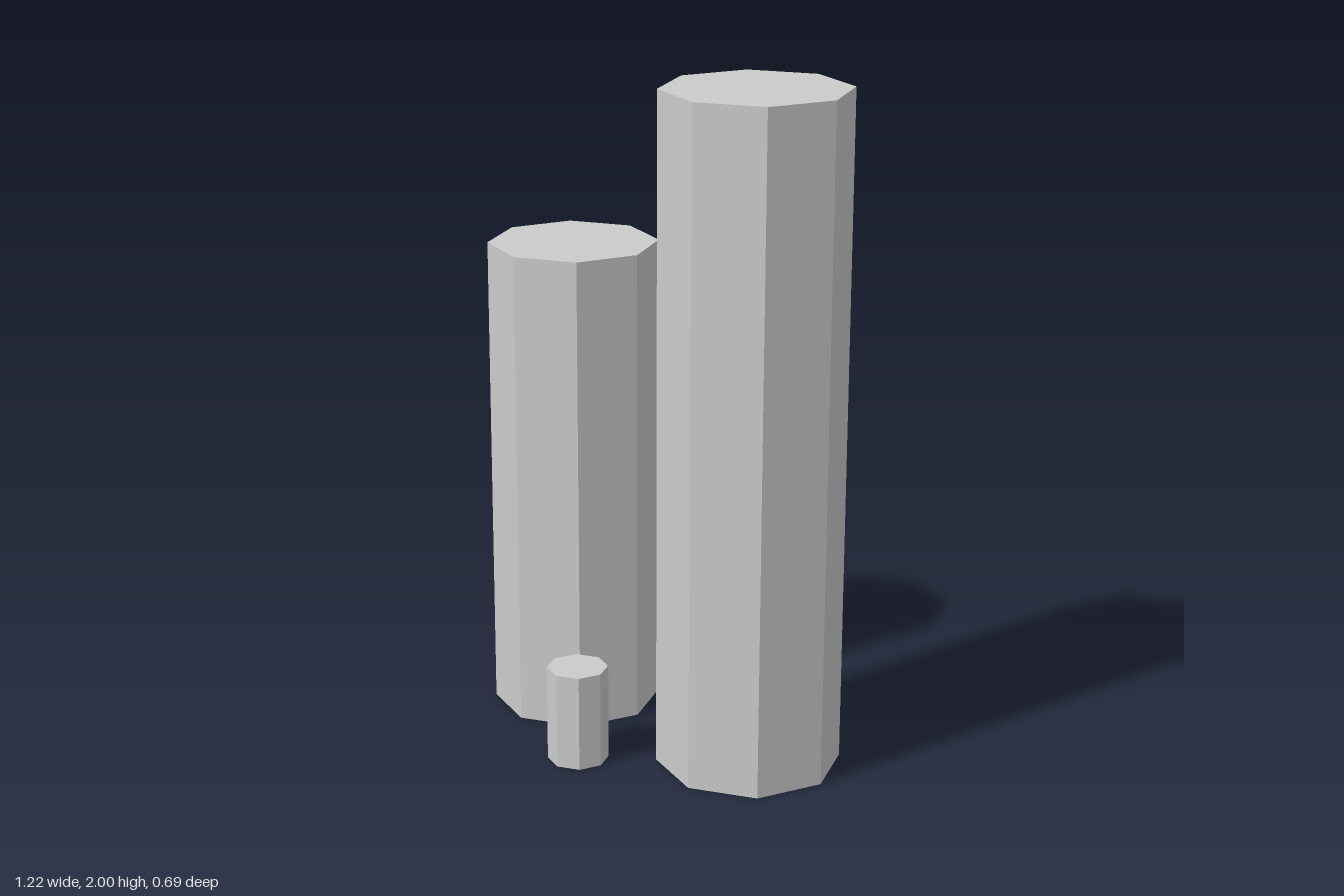
import * as THREE from 'three';

const material = new THREE.MeshStandardMaterial({ color: 0xcccccc, flatShading: true });

// Eight-sided column standing on the ground
function column(name, radius, height, x, z) {
  const mesh = new THREE.Mesh(new THREE.CylinderGeometry(radius, radius, height, 8), material);
  mesh.name = name;
  mesh.position.set(x, height / 2, z);
  return mesh;
}

export function createModel() {
  const group = new THREE.Group();
  group.name = 'columnCluster';
  group.add(
    column('tallColumn', 0.272, 2, 0.336, -0.075),
    column('mediumColumn', 0.253, 1.455, -0.357, -0.08),
    column('smallColumn', 0.09, 0.29, -0.042, 0.255)
  );
  return group;
}
